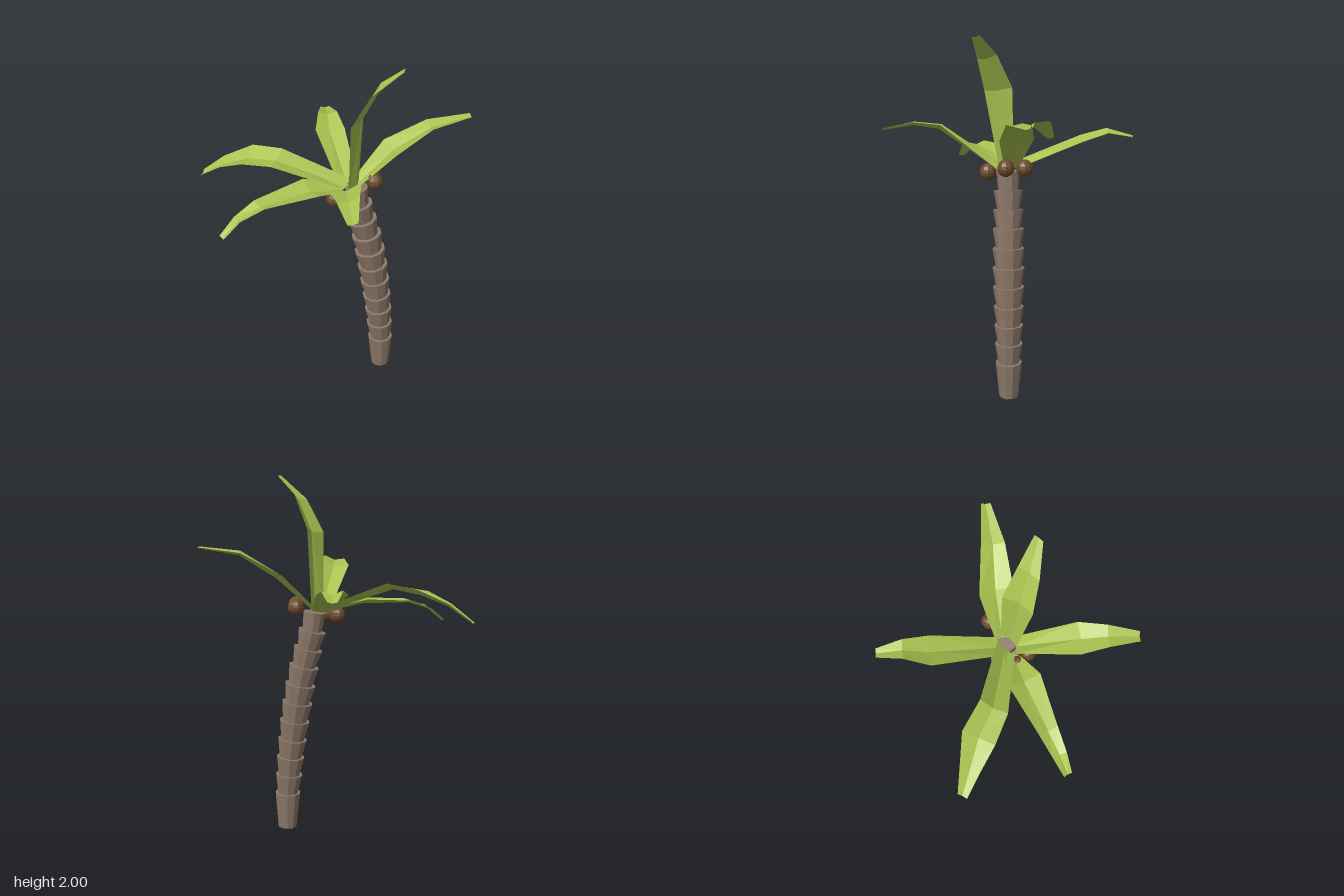
import * as THREE from 'three';

const V = (p) => new THREE.Vector3(...p);
const paint = (color) => new THREE.MeshStandardMaterial({ color, flatShading: true, side: THREE.DoubleSide });

// A frond is a strip of cross-sections [edge, edge], folded down along its midrib
function frondGeometry(rows) {
  const mids = rows.map(([a, b]) => V(a).add(V(b)).multiplyScalar(0.5));
  const sections = rows.map(([a, b], i) => {
    const along = mids[Math.min(i + 1, rows.length - 1)].clone().sub(mids[Math.max(i - 1, 0)]);
    const across = V(b).sub(V(a));
    const up = along.cross(across).normalize();
    if (up.y < 0) up.negate();
    return [V(a), mids[i].clone().addScaledVector(up, -0.15 * across.length()), V(b)];
  });
  const points = [];
  for (let i = 0; i < sections.length - 1; i++) {
    for (let j = 0; j < 2; j++) {
      const a = sections[i][j], b = sections[i][j + 1];
      const c = sections[i + 1][j + 1], d = sections[i + 1][j];
      points.push(a, b, c, a, c, d);
    }
  }
  const geometry = new THREE.BufferGeometry().setFromPoints(points);
  geometry.computeVertexNormals();
  return geometry;
}

// Each frond from crown to tip
const fronds = {
  backFrond: [
    [[0.01, 1.28, -0.03], [0.12, 1.27, -0.05]],
    [[-0.07, 1.41, -0.4], [0.097, 1.41, -0.4]],
    [[-0.04, 1.455, -0.54], [0.07, 1.45, -0.54]],
    [[-0.01, 1.42, -0.68], [0.04, 1.42, -0.68]],
  ],
  frontFrond: [
    [[0.02, 1.27, 0.04], [0.125, 1.25, 0.04]],
    [[-0.088, 1.47, 0.36], [0.08, 1.5, 0.36]],
    [[-0.065, 1.49, 0.51], [0.05, 1.51, 0.51]],
    [[-0.033, 1.46, 0.675], [0.02, 1.47, 0.675]],
  ],
  leftFrond: [
    [[0.1, 1.28, -0.06], [0.12, 1.27, 0.02]],
    [[0.275, 1.47, -0.13], [0.315, 1.465, 0.05]],
    [[0.5, 1.59, -0.105], [0.51, 1.59, 0.02]],
    [[0.73, 1.62, -0.09], [0.73, 1.62, -0.04]],
  ],
  uprightFrond: [
    [[0.06, 1.27, 0.05], [0.125, 1.28, -0.03]],
    [[0.057, 1.68, 0.125], [0.145, 1.71, -0.02]],
    [[0.15, 1.86, 0.16], [0.215, 1.89, 0.06]],
    [[0.29, 1.985, 0.185], [0.32, 2.0, 0.146]],
  ],
  rightBackFrond: [
    [[0.01, 1.275, 0.035], [0.09, 1.28, -0.05]],
    [[-0.35, 1.4, -0.025], [-0.277, 1.435, -0.16]],
    [[-0.505, 1.385, -0.1], [-0.43, 1.415, -0.26]],
    [[-0.62, 1.33, -0.18], [-0.59, 1.345, -0.284]],
    [[-0.735, 1.24, -0.26], [-0.71, 1.255, -0.305]],
  ],
  rightFrontFrond: [
    [[0.0, 1.27, 0.07], [0.07, 1.27, -0.02]],
    [[-0.115, 1.31, 0.16], [-0.18, 1.325, -0.01]],
    [[-0.4, 1.295, 0.225], [-0.45, 1.295, 0.13]],
    [[-0.53, 1.25, 0.263], [-0.56, 1.24, 0.192]],
    [[-0.62, 1.165, 0.287], [-0.64, 1.165, 0.245]],
  ],
};

export function createModel() {
  const group = new THREE.Group();
  const bark = paint(0x8c7869), leaf = paint(0xa9c24f), shell = paint(0x6b4a2b);
  const add = (name, geometry, material) => {
    const mesh = new THREE.Mesh(geometry, material);
    mesh.name = name;
    group.add(mesh);
    return mesh;
  };

  // Trunk: flared rings stacked along a curve; each row is [x, y, top radius]
  const rings = [
    [0.27, 0, 0], [0.266, 0.205, 0.073], [0.258, 0.315, 0.077], [0.249, 0.42, 0.08],
    [0.237, 0.525, 0.083], [0.223, 0.635, 0.086], [0.208, 0.74, 0.088], [0.19, 0.845, 0.088],
    [0.169, 0.95, 0.086], [0.145, 1.05, 0.083], [0.122, 1.15, 0.079], [0.108, 1.255, 0.064],
  ];
  for (let i = 1; i < rings.length; i++) {
    const [x0, y0] = rings[i - 1], [x1, y1, top] = rings[i];
    const start = new THREE.Vector3(x0, y0, 0);
    const axis = new THREE.Vector3(x1, y1, 0).sub(start);
    const length = axis.length();
    const bottom = i === rings.length - 1 ? 0.055 : top - 0.019;
    const ring = add(`trunkRing${i}`, new THREE.CylinderGeometry(top, bottom, length, 10), bark);
    ring.position.copy(start).addScaledVector(axis, 0.5);
    ring.quaternion.setFromUnitVectors(new THREE.Vector3(0, 1, 0), axis.normalize());
  }

  // Crown of fronds
  for (const [name, rows] of Object.entries(fronds)) add(name, frondGeometry(rows), leaf);

  // Coconuts below the crown
  const nuts = [[0.207, 1.295, -0.083], [0.207, 1.295, 0.015], [0.035, 1.232, 0.108], [-0.018, 1.228, 0.055]];
  nuts.forEach((p, i) => {
    add(`coconut${i + 1}`, new THREE.SphereGeometry(0.046, 10, 8), shell).position.set(...p);
  });

  return group;
}
